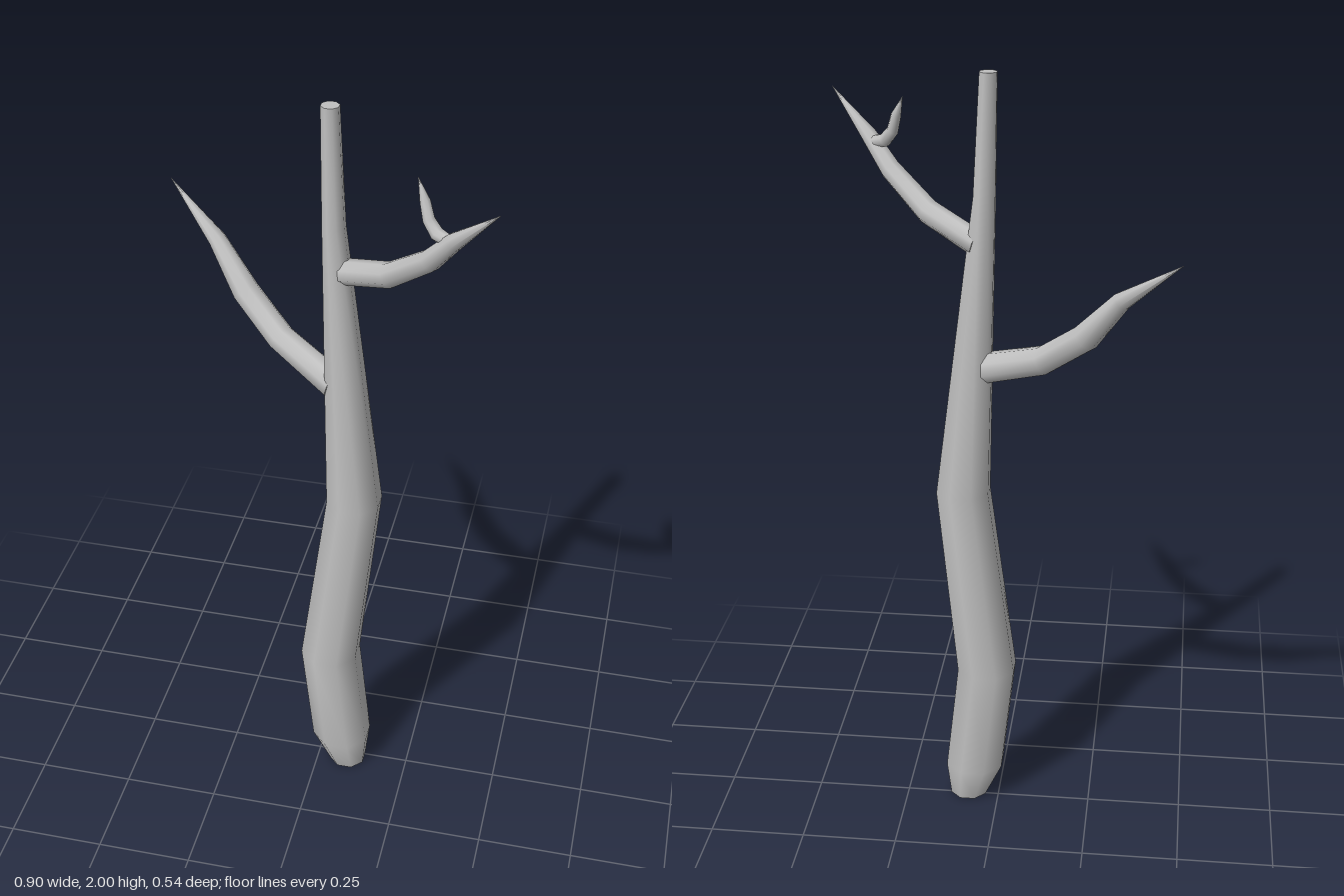
import * as THREE from 'three';

const SIDES = 8;

// Sweeps an octagonal section along rings of [x, y, z, apothem]; level keeps the rings horizontal.
function limb(name, rings, material, level = false) {
  const pts = rings.map(([x, y, z]) => new THREE.Vector3(x, y, z));
  const last = pts.length - 1;
  const up = new THREE.Vector3(0, 1, 0);
  // normal of the vertical plane the limb bends in
  const run = pts[last].clone().sub(pts[0]).setY(0).normalize();
  const n = level ? new THREE.Vector3(0, 0, 1) : run.cross(up).normalize();
  const pos = [], index = [];

  const addRing = (i) => {
    const t = level ? up : pts[Math.min(i + 1, last)].clone().sub(pts[Math.max(i - 1, 0)]).normalize();
    const b = t.clone().cross(n).normalize();
    const r = rings[i][3] / Math.cos(Math.PI / SIDES);
    const start = pos.length / 3;
    for (let j = 0; j < SIDES; j++) {
      const a = ((j + 0.5) / SIDES) * Math.PI * 2;
      const p = pts[i].clone().addScaledVector(n, r * Math.cos(a)).addScaledVector(b, r * Math.sin(a));
      pos.push(p.x, p.y, p.z);
    }
    return start;
  };

  // smooth bark
  for (let i = 0; i <= last; i++) addRing(i);
  for (let i = 0; i < last; i++) {
    for (let j = 0; j < SIDES; j++) {
      const k = (j + 1) % SIDES;
      const a = i * SIDES + j, b = i * SIDES + k, c = a + SIDES, d = b + SIDES;
      index.push(a, b, c, b, d, c);
    }
  }
  // flat ends, with their own corners so the rims stay sharp
  const s = addRing(0), e = addRing(last);
  for (let j = 1; j < SIDES - 1; j++) {
    index.push(s, s + j + 1, s + j, e, e + j, e + j + 1);
  }

  const geo = new THREE.BufferGeometry();
  geo.setAttribute('position', new THREE.Float32BufferAttribute(pos, 3));
  geo.setIndex(index);
  geo.computeVertexNormals();
  const mesh = new THREE.Mesh(geo, material);
  mesh.name = name;
  return mesh;
}

export function createModel() {
  const bark = new THREE.MeshStandardMaterial({ color: 0xc0c0c0 });
  bark.name = 'grey bark';
  const tree = new THREE.Group();
  tree.name = 'bareTree';

  // crooked trunk, cut off at both ends
  tree.add(limb('trunk', [
    [0.083, 0, 0.015, 0.047],
    [0.065, 0.1, 0.015, 0.075],
    [0.032, 0.4, 0.015, 0.075],
    [0.092, 0.92, 0.015, 0.067],
    [0.035, 1.7, 0.015, 0.027],
    [0.025, 2, 0.015, 0.021],
  ], bark, true));

  // lower branch, reaching to the right and back
  tree.add(limb('lowerBranch', [
    [0.04, 1.26, 0.012, 0.037],
    [-0.12, 1.32, -0.078, 0.034],
    [-0.225, 1.405, -0.14, 0.033],
    [-0.31, 1.515, -0.19, 0.022],
    [-0.45, 1.63, -0.27, 0.0005],
  ], bark));

  // upper branch, reaching to the left and forward
  tree.add(limb('upperBranch', [
    [0.05, 1.58, 0.012, 0.03],
    [0.185, 1.635, 0.098, 0.029],
    [0.288, 1.722, 0.165, 0.025],
    [0.345, 1.795, 0.202, 0.02],
    [0.45, 1.905, 0.27, 0.0005],
  ], bark));

  // small twig curling up from the upper branch
  tree.add(limb('twig', [
    [0.335, 1.785, 0.19, 0.014],
    [0.302, 1.793, 0.172, 0.016],
    [0.28, 1.82, 0.16, 0.014],
    [0.269, 1.86, 0.152, 0.012],
    [0.25, 1.91, 0.14, 0.0005],
  ], bark));

  return tree;
}
